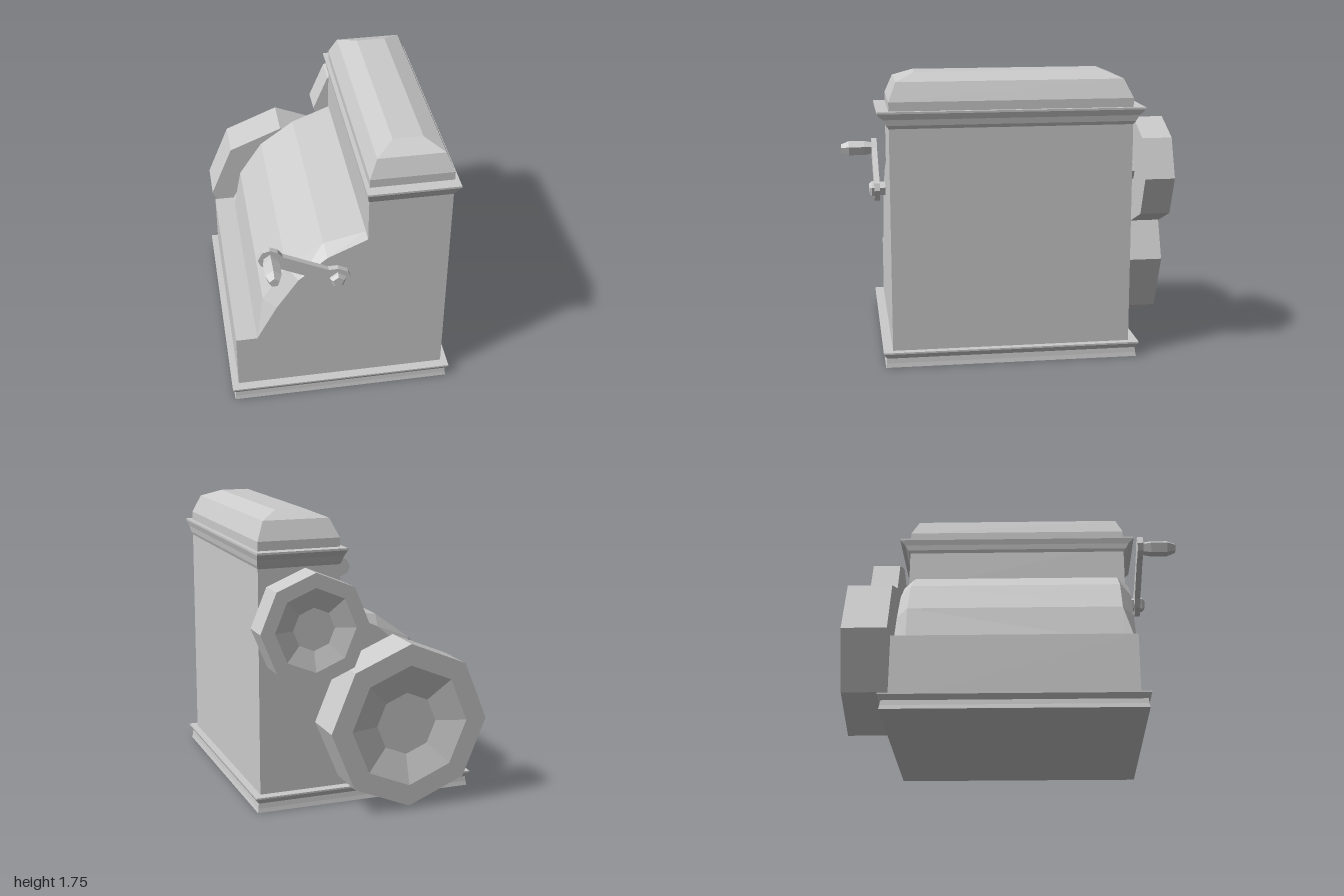
import * as THREE from 'three';

const material = new THREE.MeshStandardMaterial({ color: 0xcccccc, flatShading: true });

// Skin over matching cross-sections; closed sections wrap round and get end caps
function loft(sections, closed) {
  const n = sections[0].length, pos = sections.flat(2), idx = [];
  const span = closed ? n : n - 1;
  for (let i = 0; i < sections.length - 1; i++) {
    for (let j = 0; j < span; j++) {
      const a = i * n + j, b = i * n + (j + 1) % n;
      idx.push(a, b, b + n, a, b + n, a + n);
    }
  }
  if (closed) {
    const t = (sections.length - 1) * n;
    for (let j = 1; j < n - 1; j++) idx.push(0, j + 1, j, t, t + j, t + j + 1);
  }
  const g = new THREE.BufferGeometry();
  g.setAttribute('position', new THREE.Float32BufferAttribute(pos, 3));
  g.setIndex(idx);
  g.computeVertexNormals();
  return g;
}

// Stack of rectangles [y, x0, x1, z0, z1]
const rectStack = rows => loft(rows.map(([y, x0, x1, z0, z1]) =>
  [[x0, y, z1], [x1, y, z1], [x1, y, z0], [x0, y, z0]]), true);

// Rectangular moulding: [y, outset] steps around a footprint
const moulding = (steps, x0, x1, z0, z1) =>
  rectStack(steps.map(([y, o]) => [y, x0 - o, x1 + o, z0 - o, z1 + o]));

const turned = (profile, sides, phi = 0) =>
  new THREE.LatheGeometry(profile.map(p => new THREE.Vector2(...p)), sides, phi);

function extrude(points, depth) {
  const shape = new THREE.Shape(points.map(p => new THREE.Vector2(...p)));
  return new THREE.ExtrudeGeometry(shape, { depth, bevelEnabled: false });
}

export function createModel() {
  const model = new THREE.Group();
  const add = (name, geometry, parent = model) => {
    const mesh = new THREE.Mesh(geometry, material);
    mesh.name = name;
    parent.add(mesh);
    return mesh;
  };
  const X0 = -0.665, X1 = 0.635, Z0 = -0.71, Z1 = 0.73, NECK = 0.14;

  // Cabinet body with stepped, curved side profile
  const drumEnd = [[NECK, 1.16], [-0.1, 1.05], [-0.275, 0.9], [-0.41, 0.7], [-0.535, 0.465]];
  const drumMid = [[NECK, 1.165], [-0.115, 1.11], [-0.335, 0.95], [-0.485, 0.725], [-0.535, 0.465]];
  const body = extrude([[X0, 0.05], [X1, 0.05], [X1, 1.5], [NECK, 1.5], ...drumEnd, [X0, 0.465]], Z1 - Z0);
  add('body', body.translate(0, 0, Z0));

  // Faceted drum cover, chamfered at both ends
  const at = (points, z) => points.map(([x, y]) => [x, y, z]);
  add('drumCover', loft([at(drumEnd, Z0), at(drumMid, Z0 + 0.07), at(drumMid, Z1 - 0.07), at(drumEnd, Z1)], false));

  // Mouldings and bevelled lid
  add('baseMoulding', moulding([[0, 0.03], [0.025, 0.025], [0.055, 0.022], [0.085, 0.042], [0.095, 0.042]],
    X0, X1, Z0 - 0.015, Z1 + 0.015));
  add('neckMoulding', rectStack([
    [1.435, NECK, X1, Z0, Z1],
    [1.455, 0.132, 0.643, -0.725, 0.745],
    [1.49, 0.126, 0.649, -0.745, 0.765],
    [1.525, 0.116, 0.66, -0.78, 0.8],
    [1.537, 0.116, 0.66, -0.78, 0.8],
  ]));
  add('lid', rectStack([
    [1.53, NECK, X1, Z0, Z1],
    [1.59, NECK, X1, Z0, Z1],
    [1.7, 0.188, 0.587, -0.66, 0.685],
    [1.745, 0.298, 0.477, -0.55, 0.57],
  ]));

  // Dished octagonal wheels on the back
  const wheel = (name, x, y, z, r, h) => {
    const group = new THREE.Group();
    group.name = name;
    group.position.set(x, y, z);
    const d = h * 0.2;
    add('rim', turned([[0, 0], [r, 0], [r, h], [r * 0.74, h], [r * 0.38, h - d], [0, h - d]], 8), group)
      .rotation.x = -Math.PI / 2;
    add('axle', turned([[0, -0.1], [r * 0.2, -0.1], [r * 0.2, 0.01], [0, 0.01]], 8), group)
      .rotation.x = -Math.PI / 2;
    model.add(group);
  };
  wheel('largeWheel', -0.19, 0.51, -0.73, 0.49, 0.27);
  wheel('smallWheel', 0.375, 1.113, -0.775, 0.327, 0.18);

  // Crank: axle, arm with hexagonal ends, bolt and grip
  const crank = new THREE.Group();
  crank.name = 'crank';
  crank.position.set(-0.05, 0.945, 0);
  const dx = -0.395, dy = 0.195, len = Math.hypot(dx, dy);
  const half = [[-0.07, 0.035], [-0.035, 0.068], [0.03, 0.068], [0.08, 0.042],
    [len - 0.06, 0.042], [len - 0.02, 0.062], [len + 0.03, 0.06], [len + 0.065, 0.03]];
  const outline = [...half.map(([x, y]) => [x, -y]), ...half.slice().reverse()];
  const arm = add('crankArm', extrude(outline, 0.035), crank);
  arm.position.z = 0.765;
  arm.rotation.z = Math.atan2(dy, dx);

  const pin = (name, profile, x, y, z) => {
    const mesh = add(name, turned(profile, 5, Math.PI), crank);
    mesh.rotation.x = Math.PI / 2;
    mesh.position.set(x, y, z);
  };
  pin('crankAxle', [[0, 0], [0.045, 0], [0.045, 0.06], [0, 0.06]], 0, 0, 0.72);
  pin('crankBolt', [[0, 0], [0.05, 0], [0.05, 0.018], [0.034, 0.033], [0, 0.033]], 0, 0, 0.798);
  pin('crankGrip', [[0, 0], [0.04, 0], [0.05, 0.05], [0.05, 0.15], [0.03, 0.2], [0, 0.2]], dx, dy, 0.8);
  model.add(crank);

  return model;
}
